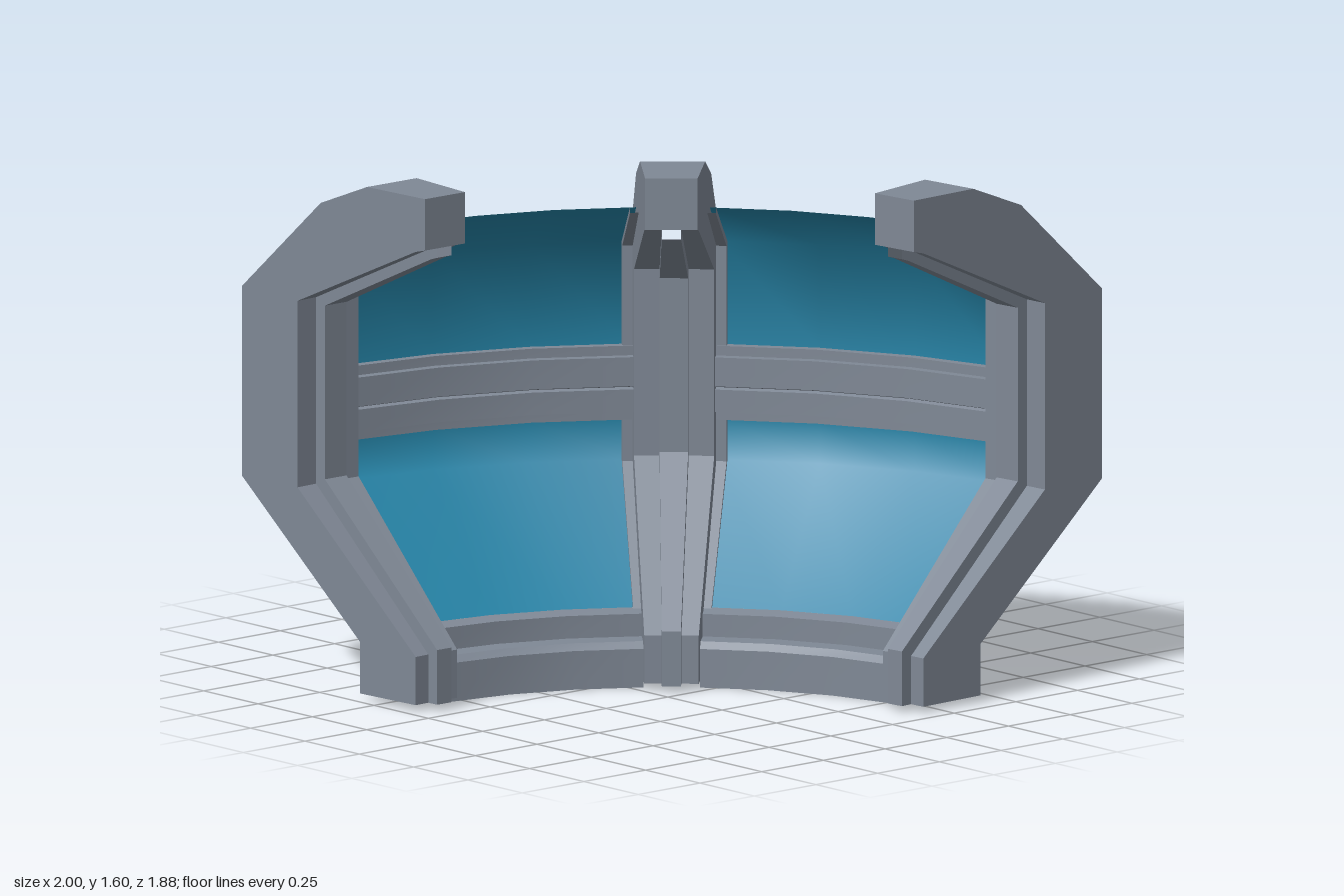
import * as THREE from 'three';

// Curved wall: profiles are [radius, height] pairs placed around a vertical axis.
const CX = -0.9, CZ = 0.98, DEG = Math.PI / 180;
const RIBS = [0.95, 42.25, 83.4], HALF = 4.4;

const place = (r, y, deg) => [CX + r * Math.sin(deg * DEG), y, CZ - r * Math.cos(deg * DEG)];

// Surface through rows of points, with smooth normals inside one surface
function loft(rows) {
  const n = rows[0].length, index = [];
  for (let i = 0; i < rows.length - 1; i++) {
    for (let j = 0; j < n - 1; j++) {
      const a = i * n + j, b = a + n;
      index.push(a, b, a + 1, b, b + 1, a + 1);
    }
  }
  const g = new THREE.BufferGeometry();
  g.setAttribute('position', new THREE.Float32BufferAttribute(rows.flat(2), 3));
  g.setIndex(index);
  g.computeVertexNormals();
  return g;
}

// Profile swept between two angles
function sweep(profile, a0, a1, steps) {
  const rows = [];
  for (let i = 0; i <= steps; i++) {
    const a = a0 + (a1 - a0) * i / steps;
    rows.push(profile.map(([r, y]) => place(r, y, a)));
  }
  return loft(rows);
}

// Flat plate standing on a radial plane
function plate(outline, deg) {
  const g = new THREE.ShapeGeometry(new THREE.Shape(outline.map(p => new THREE.Vector2(...p))));
  const pos = g.attributes.position;
  for (let i = 0; i < pos.count; i++) pos.setXYZ(i, ...place(pos.getX(i), pos.getY(i), deg));
  g.computeVertexNormals();
  return g;
}

export function createModel() {
  const model = new THREE.Group();
  model.name = 'curvedWindowWall';
  const metal = new THREE.MeshStandardMaterial({ color: 0x7f8895, side: THREE.DoubleSide });
  metal.name = 'greyMetal';
  const glass = new THREE.MeshStandardMaterial({ color: 0x2583a6, side: THREE.DoubleSide });
  glass.name = 'tealGlass';

  const add = (parent, name, geometry, material = metal) => {
    const mesh = new THREE.Mesh(geometry, material);
    mesh.name = name;
    parent.add(mesh);
  };
  // Creased sweep: one strip per profile segment
  const strips = (parent, name, profile, a0, a1, steps) => {
    for (let i = 0; i < profile.length - 1; i++) {
      add(parent, name, sweep([profile[i], profile[i + 1]], a0, a1, steps));
    }
  };

  // Rib profiles
  const flange = [[1.08, 0.02], [1.08, 0.17], [1.59, 0.62], [1.59, 1.2], [1.08, 1.43], [1.04, 1.44]];
  const ridge = [[1.04, 0.02], [1.04, 0.19], [1.55, 0.64], [1.55, 1.18], [1.07, 1.4], [1.04, 1.41]];
  const cap = [[1.04, 1.44], [1.04, 1.6], [1.29, 1.6], [1.49, 1.52]];
  const side = [...flange, [1.04, 1.6], [1.29, 1.6], [1.49, 1.52], [1.83, 1.21],
    [1.83, 0.62], [1.32, 0.18], [1.32, 0.02]];

  for (const mid of RIBS) {
    const rib = new THREE.Group();
    rib.name = 'rib';
    model.add(rib);
    strips(rib, 'ribCap', cap, mid - HALF, mid + HALF, 1);
    strips(rib, 'ribRidge', ridge, mid - 1.6, mid + 1.6, 1);
    for (const s of [-1, 1]) {
      add(rib, 'ribSide', plate(side, mid + s * HALF));
      strips(rib, 'ribFlange', flange, mid + s * 1.6, mid + s * HALF, 1);
      // Wall between flange and ridge
      add(rib, 'ridgeWall', loft([flange, ridge].map(p => p.map(([r, y]) => place(r, y, mid + s * 1.6)))));
    }
  }

  // Window bay profiles
  const upperGlass = [[1.68, 0.95], [1.68, 1.27], [1.37, 1.44]];
  const lowerGlass = [[1.26, 0.22], [1.68, 0.59], [1.68, 0.72]];
  const sideFrame = [[1.24, 0.22], [1.655, 0.59], [1.655, 1.26], [1.36, 1.425]];
  const rail = [[1.68, 0.95], [1.65, 0.95], [1.65, 0.92], [1.62, 0.92], [1.62, 0.83], [1.635, 0.825],
    [1.62, 0.82], [1.62, 0.75], [1.65, 0.75], [1.65, 0.72], [1.68, 0.72]];
  const sill = [[1.26, 0.22], [1.21, 0.21], [1.21, 0.14], [1.14, 0.14], [1.12, 0.12], [1.12, 0]];
  const ledgeEnd = [[1.62, 0.75], [1.925, 0.75], [1.925, 0.92], [1.62, 0.92]];

  for (let i = 0; i < 2; i++) {
    const a0 = RIBS[i] + HALF, a1 = RIBS[i + 1] - HALF;
    const bay = new THREE.Group();
    bay.name = 'windowBay';
    model.add(bay);
    add(bay, 'upperGlass', sweep(upperGlass, a0 + 0.3, a1 - 0.3, 3), glass);
    add(bay, 'lowerGlass', sweep(lowerGlass, a0 + 0.3, a1 - 0.3, 3), glass);
    strips(bay, 'middleRail', rail, a0, a1, 3);
    strips(bay, 'sill', sill, a0, a1, 3);
    strips(bay, 'outerLedge', [[1.62, 0.92], [1.925, 0.92]], a0, a1, 3);
    for (const [edge, s] of [[a0, 1], [a1, -1]]) {
      add(bay, 'ledgeEnd', plate(ledgeEnd, edge + s * 0.05));
      strips(bay, 'sideFrame', sideFrame, edge, edge + s * 1.1, 1);
      // Return from the frame to the glass
      const back = [lowerGlass[0], lowerGlass[1], upperGlass[1], upperGlass[2]];
      add(bay, 'frameReturn', loft([sideFrame, back].map(p => p.map(([r, y]) => place(r, y, edge + s * 1.1)))));
    }
  }
  return model;
}
